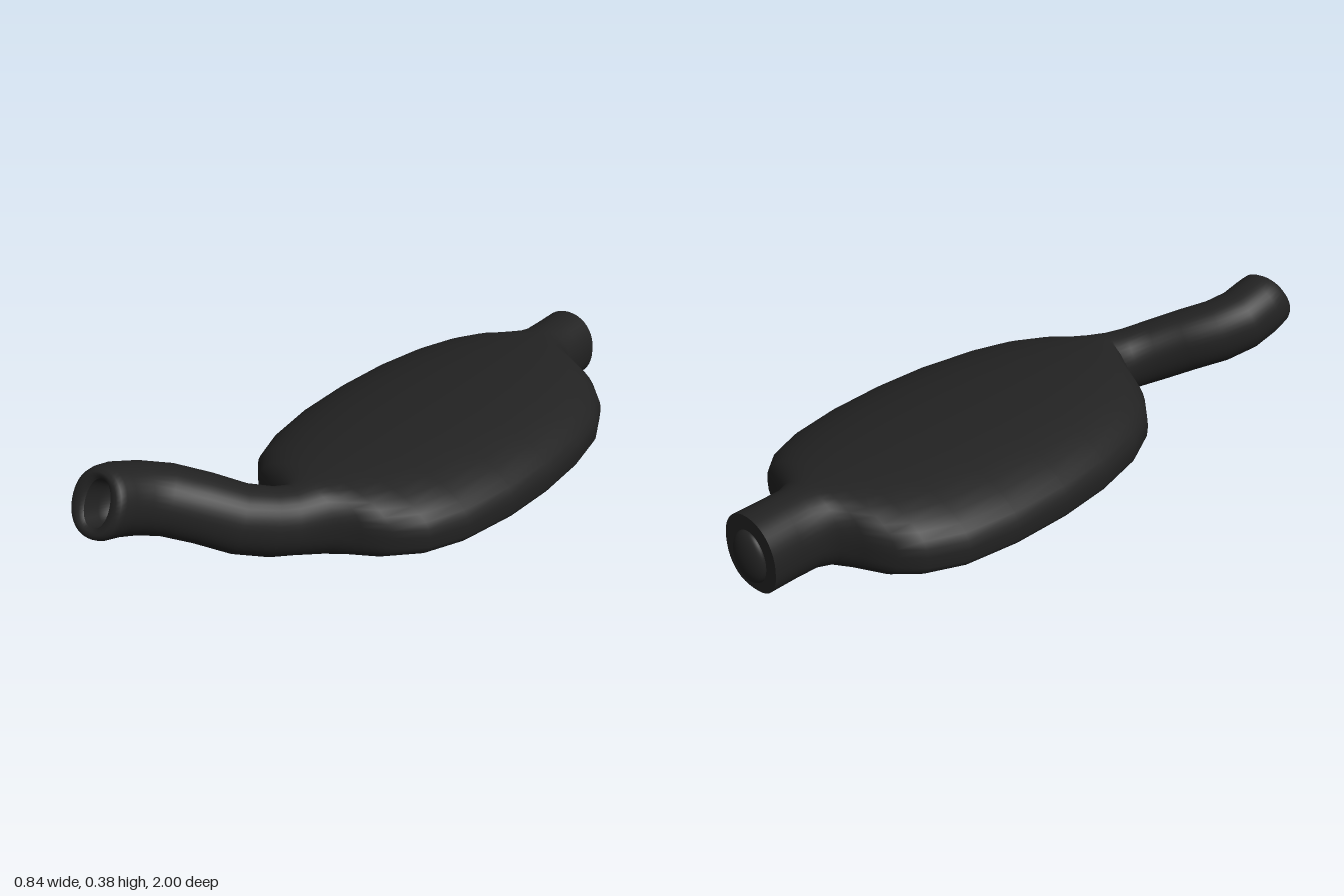
import * as THREE from 'three';

const SIDES = 40;

// One ring: centre, half-width, height above and below the centre, underside squareness, facing direction
function ring(s) {
  const [x, y, z, w, up, down, n] = s.size;
  const t = s.dir.clone().normalize();
  const side = new THREE.Vector3(0, 1, 0).cross(t).normalize();
  const top = t.clone().cross(side);
  const pts = [];
  for (let j = 0; j < SIDES; j++) {
    const a = (j / SIDES) * Math.PI * 2, c = Math.cos(a), q = Math.sin(a);
    const e = 2 / (q < 0 ? n : 2.1);
    const u = Math.sign(c) * Math.abs(c) ** e * w;
    const v = Math.sign(q) * Math.abs(q) ** e * (q < 0 ? down : up);
    pts.push(new THREE.Vector3(x, y, z).addScaledVector(side, u).addScaledVector(top, v));
  }
  return pts;
}

// Skin a run of rings
function loft(sections) {
  const pos = [], idx = [];
  sections.forEach((s) => ring(s).forEach((p) => pos.push(p.x, p.y, p.z)));
  for (let i = 0; i < sections.length - 1; i++) {
    for (let j = 0; j < SIDES; j++) {
      const k = (j + 1) % SIDES;
      const a = i * SIDES + j, b = i * SIDES + k, c = a + SIDES, d = b + SIDES;
      idx.push(a, b, c, b, d, c);
    }
  }
  const g = new THREE.BufferGeometry();
  g.setAttribute('position', new THREE.Float32BufferAttribute(pos, 3));
  g.setIndex(idx);
  g.computeVertexNormals();
  return g;
}

export function createModel() {
  const group = new THREE.Group();
  const black = new THREE.MeshStandardMaterial({ color: 0x222222, side: THREE.DoubleSide });
  black.name = 'matte black';
  const add = (name, geometry) => {
    const m = new THREE.Mesh(geometry, black);
    m.name = name;
    group.add(m);
    return m;
  };
  const forward = new THREE.Vector3(0, 0, 1);

  // Flattened chamber with a short round neck at the back: z, half-width, centre height, underside squareness
  const body = [
    [-0.97, 0.105, 0.12, 2.4], [-0.88, 0.105, 0.12, 2.4], [-0.81, 0.107, 0.12, 2.5],
    [-0.77, 0.13, 0.115, 2.7], [-0.74, 0.19, 0.11, 3], [-0.7, 0.275, 0.1, 3.5],
    [-0.64, 0.33, 0.095, 4], [-0.53, 0.38, 0.09, 4.5], [-0.37, 0.41, 0.09, 4.5],
    [-0.18, 0.42, 0.09, 4.5], [0, 0.41, 0.09, 4.5], [0.18, 0.375, 0.09, 4.5],
    [0.3, 0.325, 0.092, 4], [0.38, 0.25, 0.1, 3.5], [0.42, 0.175, 0.105, 3], [0.455, 0.115, 0.115, 2.6],
  ].map(([z, w, y, n]) => {
    const top = 0.235 - 0.008 * (z + 0.97) / 1.4;
    return { size: [0, y, z, w, top - y, y - 0.005, n], dir: forward };
  });

  // Bent outlet pipe: x, y, z, half-width
  const path = [
    [-0.015, 0.122, 0.5, 0.09], [-0.045, 0.13, 0.55, 0.088], [-0.1, 0.155, 0.62, 0.092],
    [-0.175, 0.195, 0.685, 0.094], [-0.245, 0.228, 0.75, 0.096], [-0.283, 0.255, 0.82, 0.098],
    [-0.295, 0.28, 0.89, 0.098], [-0.295, 0.292, 0.935, 0.095],
  ];
  const endDir = new THREE.Vector3(0, 0.44, 0.9);
  const pipe = path.map(([x, y, z, w], i) => {
    const a = path[Math.max(i - 1, 0)], b = path[i + 1];
    const dir = b ? new THREE.Vector3(b[0] - a[0], b[1] - a[1], b[2] - a[2]) : endDir;
    return { size: [x, y, z, w, 0.102, 0.102, 2.1], dir };
  });

  // Rounded lip that turns inward to the mouth
  const end = (w, h, depth) => ({
    size: [-0.293, 0.302 - depth * 0.44, 0.96 - depth * 0.9, w, h, h, 2.2], dir: endDir,
  });
  const lip = [end(0.09, 0.096, 0.008), end(0.078, 0.086, 0), end(0.055, 0.075, 0.002), end(0.046, 0.068, 0.012)];
  add('chamberAndPipe', loft([...body, ...pipe, ...lip]));
  add('pipeMouth', loft([lip[3], end(0.042, 0.06, 0.06), end(0.038, 0.055, 0.1), end(0, 0, 0.1)]));

  // Closed end of the back neck with a domed plug
  const edge = body[0];
  add('neckEnd', loft([{ size: [0, 0.12, -0.97, 0, 0, 0, 2.4], dir: forward }, edge]));
  const plug = add('neckPlug', new THREE.SphereGeometry(1, 32, 20));
  plug.scale.set(0.065, 0.08, 0.03);
  plug.position.set(0, 0.11, -0.97);

  return group;
}
